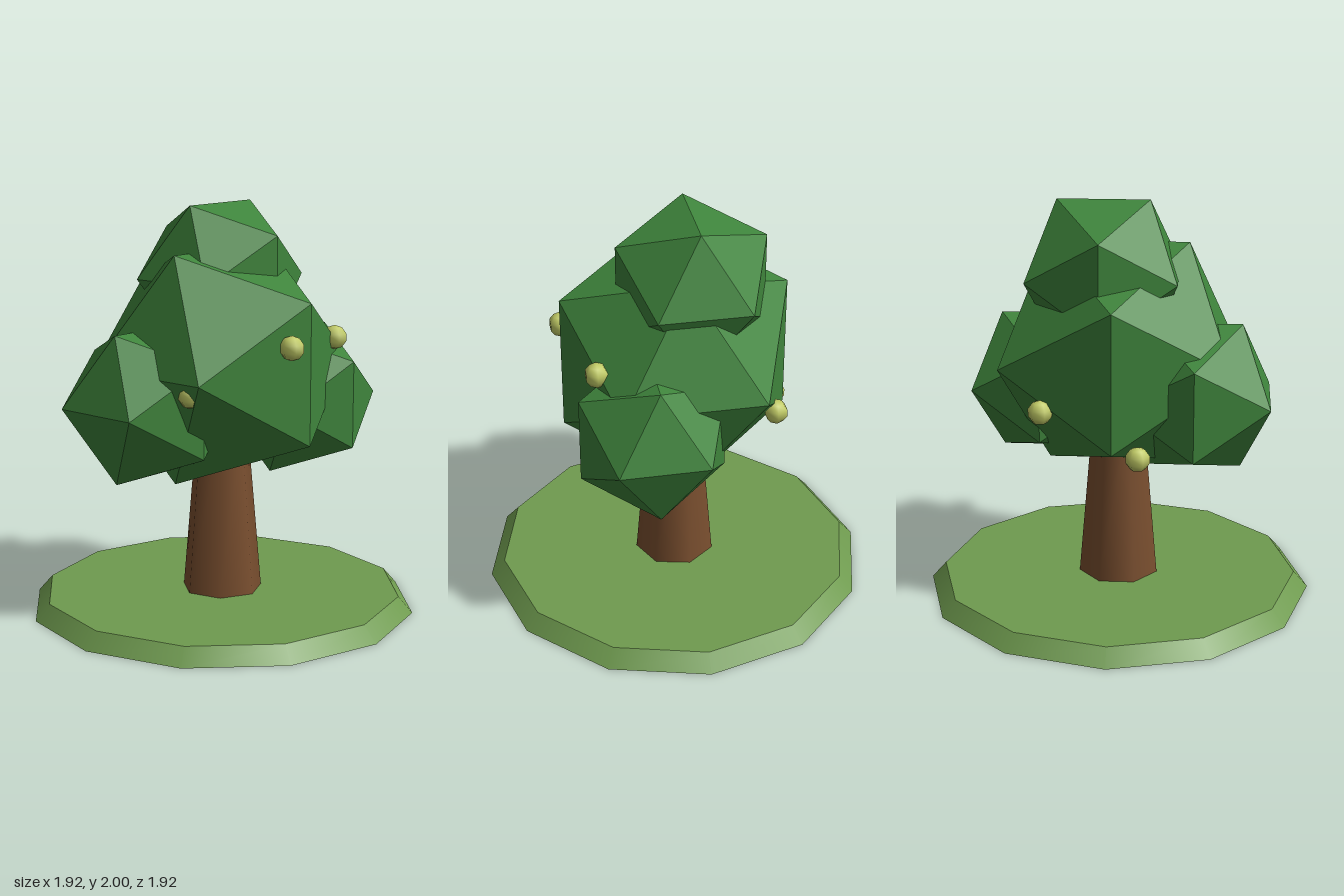
import * as THREE from 'three';

const mat = (name, color, flatShading = false) => {
  const m = new THREE.MeshStandardMaterial({ color, flatShading });
  m.name = name;
  return m;
};

export function createModel() {
  const tree = new THREE.Group();
  tree.name = 'tree';
  const grass = mat('grass', 0x6f9b4f);
  const bark = mat('bark', 0x7a4f2f);
  const leaf = mat('leaf', 0x3f853c, true);
  const fruitSkin = mat('fruitSkin', 0xc2cc66);

  const add = (name, geometry, material, x, y, z) => {
    const mesh = new THREE.Mesh(geometry, material);
    mesh.name = name;
    mesh.position.set(x, y, z);
    tree.add(mesh);
  };

  // Bevelled twelve-sided ground disc
  add('ground', new THREE.CylinderGeometry(0.89, 0.96, 0.08, 12), grass, 0, 0.04, 0);

  // Tapered seven-sided trunk, running up into the foliage
  add('trunk', new THREE.CylinderGeometry(0.13, 0.2, 0.82, 7), bark, 0, 0.49, 0);

  // Overlapping foliage clumps: name, radius, centre
  const clumps = [
    ['foliageMain', 0.65, 0, 1.23, 0],
    ['foliageLeft', 0.41, 0.377, 1.025, 0.175],
    ['foliageRight', 0.423, -0.38, 1.06, -0.14],
    ['foliageTop', 0.423, 0.067, 1.64, -0.068],
  ];
  for (const [name, r, x, y, z] of clumps) {
    add(name, new THREE.IcosahedronGeometry(r, 0), leaf, x, y, z);
  }

  // Seven fruits in a wavy ring around the crown
  const fruitGeometry = new THREE.SphereGeometry(0.06, 6, 5);
  for (let i = 0; i < 7; i++) {
    const a = (i / 7) * Math.PI * 2;
    add('fruit' + (i + 1), fruitGeometry, fruitSkin,
      Math.cos(a) * 0.55, 1.13 + Math.sin(i) * 0.27, Math.sin(a) * 0.55);
  }
  return tree;
}
